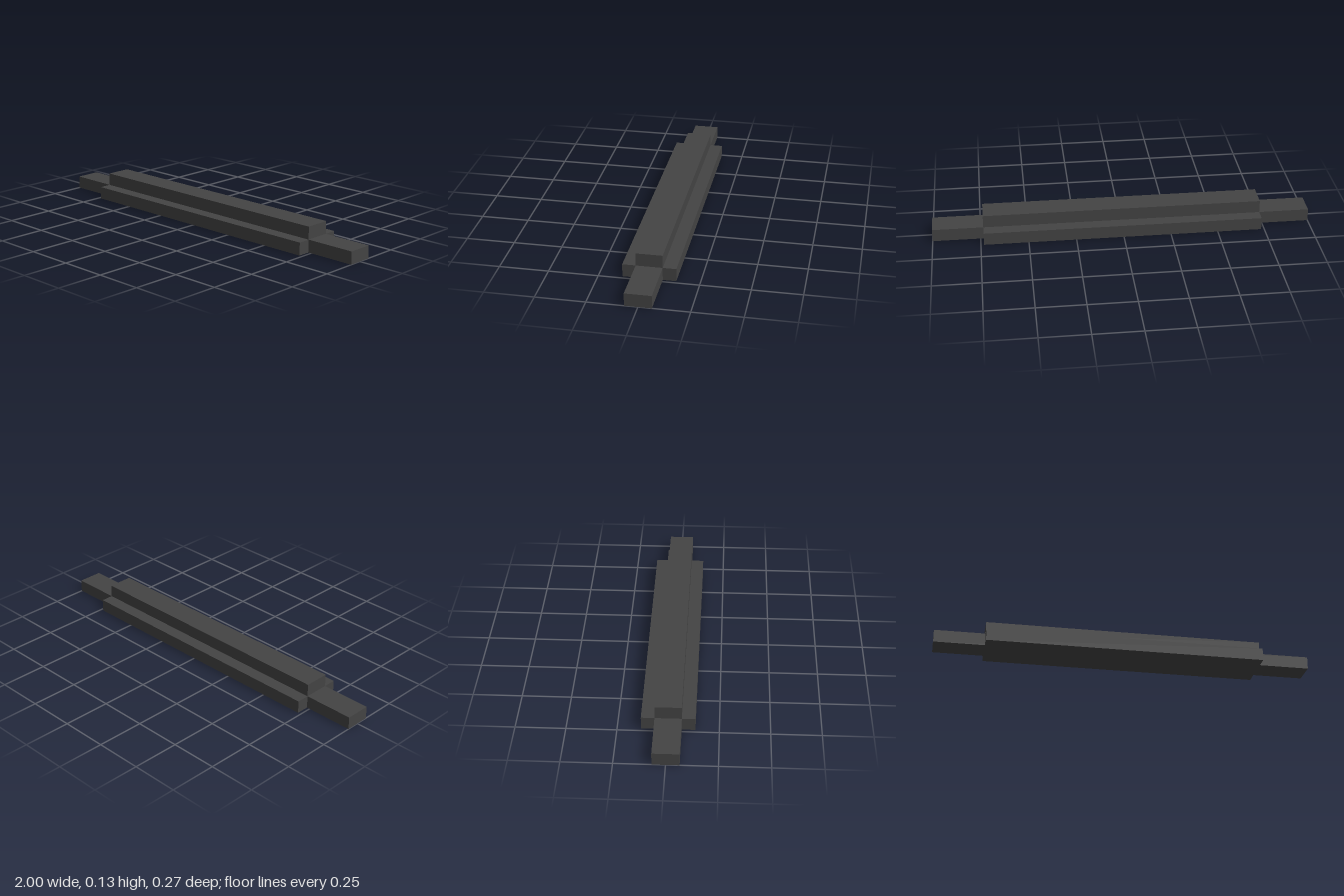
import * as THREE from 'three';

const UNIT = 1 / 15; // thickness of every rail

export function createModel() {
  const model = new THREE.Group();
  model.name = 'steppedBar';
  const charcoal = new THREE.MeshStandardMaterial({ color: 0x444444 });
  charcoal.name = 'charcoal';

  // Box resting on height y, sized in units
  const addBar = (name, length, width, y, z) => {
    const geometry = new THREE.BoxGeometry(length * UNIT, UNIT, width * UNIT);
    const bar = new THREE.Mesh(geometry, charcoal);
    bar.name = name;
    bar.position.set(0, (y + 0.5) * UNIT, z * UNIT);
    model.add(bar);
  };

  // Long core whose ends stick out on both sides
  addBar('coreBar', 30, 2, 0, 0);
  // Raised rail on top of the core
  addBar('topRail', 22, 2, 1, 0);
  // Low rails along the front and back
  for (const side of [1, -1]) {
    addBar(side > 0 ? 'frontRail' : 'backRail', 22, 1, 0, 1.5 * side);
  }

  return model;
}
